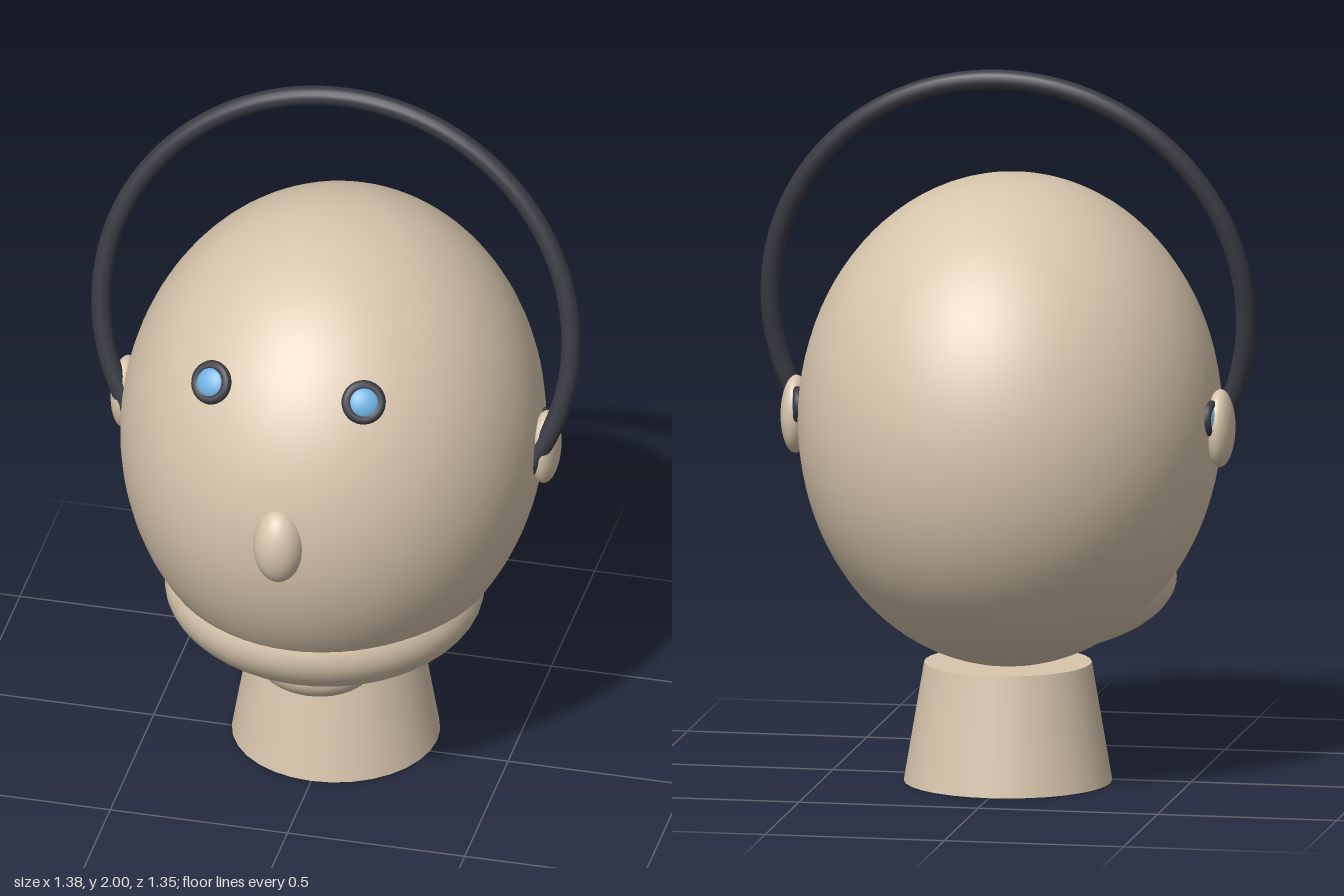
import * as THREE from 'three';

const skin = new THREE.MeshStandardMaterial({ color: 0xd8c6ad });
const dark = new THREE.MeshStandardMaterial({ color: 0x3a3a44 });
const blue = new THREE.MeshStandardMaterial({ color: 0x6fb2e2 });

function add(parent, name, geometry, material, x = 0, y = 0, z = 0) {
  const mesh = new THREE.Mesh(geometry, material);
  mesh.name = name;
  mesh.position.set(x, y, z);
  parent.add(mesh);
  return mesh;
}

const ellipsoid = (rx, ry, rz, segments = 32) =>
  new THREE.SphereGeometry(1, segments, segments * 0.75).scale(rx, ry, rz);

// Lens in a dark ring, facing +z before it is turned
function ringedLens(name, radius) {
  const group = new THREE.Group();
  group.name = name;
  add(group, 'ring', new THREE.TorusGeometry(radius * 0.78, radius * 0.24, 12, 32), dark);
  add(group, 'lens', ellipsoid(radius * 0.75, radius * 0.75, radius * 0.38, 24), blue);
  return group;
}

export function createModel() {
  const model = new THREE.Group();
  model.name = 'mannequinHead';

  // Head, jaw, chin and nose
  add(model, 'skull', ellipsoid(0.58, 0.68, 0.648, 64), skin, 0, 1, -0.028);
  add(model, 'jaw', ellipsoid(0.44, 0.21, 0.42, 48), skin, 0, 0.55, 0.07);
  add(model, 'chin', ellipsoid(0.17, 0.095, 0.14), skin, 0, 0.37, 0.17);
  add(model, 'nose', ellipsoid(0.07, 0.113, 0.075), skin, 0, 1, 0.6);

  // Tapered neck
  add(model, 'neck', new THREE.CylinderGeometry(0.23, 0.286, 0.33, 32), skin, 0, 0.165, -0.06);

  for (const side of [-1, 1]) {
    const label = side > 0 ? 'left' : 'right';

    add(model, label + 'Ear', ellipsoid(0.04, 0.108, 0.08), skin, side * 0.592, 1, -0.06);

    // Eyes stand off the face, tilted up and outward
    const eye = ringedLens(label + 'Eye', 0.06);
    eye.position.set(side * 0.215, 1.432, 0.5);
    eye.rotation.set(-Math.PI / 6, side * 0.36, 0, 'YXZ');
    model.add(eye);

    // Small ringed lens behind each ear
    const earLens = ringedLens(label + 'EarLens', 0.05);
    earLens.position.set(side * 0.578, 1.035, -0.11);
    earLens.rotation.y = side * 1.75;
    model.add(earLens);
  }

  // Headband: an open hoop leaning back, with rounded ends
  const band = new THREE.Group();
  band.name = 'headband';
  band.position.set(0, 1.32, -0.06);
  band.rotation.x = -0.175;
  const radius = 0.663, tube = 0.027, start = -0.58;
  const hoop = new THREE.TorusGeometry(radius, tube, 16, 80, Math.PI - 2 * start);
  add(band, 'hoop', hoop, dark).rotation.z = start;
  for (const side of [-1, 1]) {
    add(band, 'hoopEnd', ellipsoid(tube, tube, tube, 16), dark,
      side * radius * Math.cos(start), radius * Math.sin(start), 0);
  }
  model.add(band);

  return model;
}
